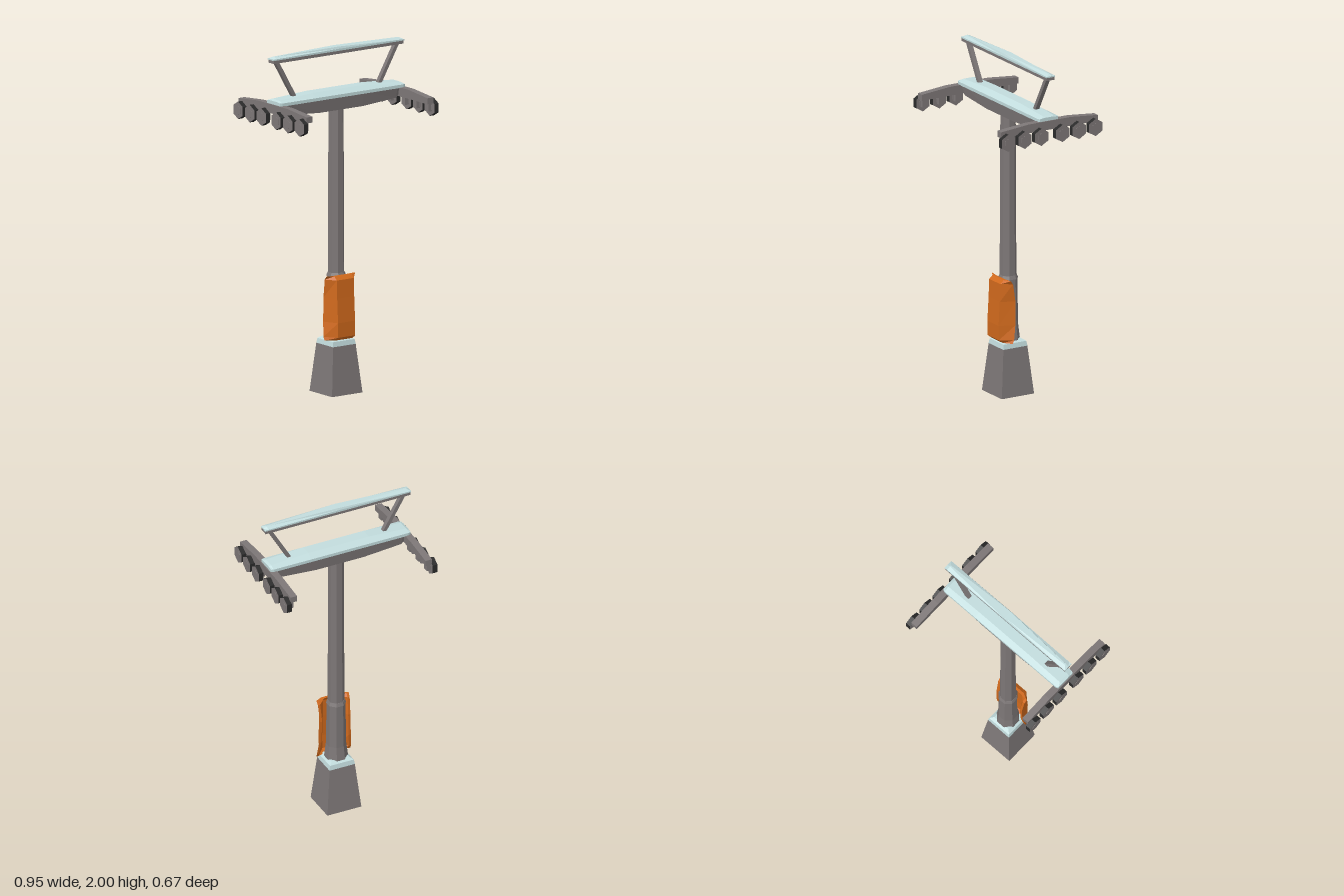
import * as THREE from 'three';

const material = (name, color) => {
  const m = new THREE.MeshStandardMaterial({ color, flatShading: true });
  m.name = name;
  return m;
};

// Solid through counter-clockwise 2D sections [position, [[u, v], ...]] stacked along +z.
function loft(sections, axis = 'y') {
  const pos = [];
  const n = sections[0][1].length;
  const put = (s, i) => {
    const [u, v] = sections[s][1][i % n];
    pos.push(u, v, sections[s][0]);
  };
  for (let s = 0; s < sections.length - 1; s++) {
    for (let i = 0; i < n; i++) {
      put(s, i); put(s, i + 1); put(s + 1, i + 1);
      put(s, i); put(s + 1, i + 1); put(s + 1, i);
    }
  }
  const last = sections.length - 1;
  const tris = THREE.ShapeUtils.triangulateShape(sections[0][1].map((p) => new THREE.Vector2(...p)), []);
  for (const [a, b, c] of tris) {
    put(0, a); put(0, c); put(0, b);
    put(last, a); put(last, b); put(last, c);
  }
  const g = new THREE.BufferGeometry();
  g.setAttribute('position', new THREE.Float32BufferAttribute(pos, 3));
  // 'y': u = x, v = -z.  'x': u = -z, v = y.
  if (axis === 'y') g.rotateX(-Math.PI / 2);
  else g.rotateY(Math.PI / 2);
  g.computeVertexNormals();
  return g;
}

const square = (h) => [[-h, -h], [h, -h], [h, h], [-h, h]];

export function createModel() {
  const model = new THREE.Group();
  model.name = 'liftPylon';
  const steel = material('greySteel', 0x7d7777);
  const snow = material('paleSnow', 0xc2dcdd);
  const orange = material('orangePadding', 0xd0691c);
  const rubber = material('blackRubber', 0x2a2a2a);

  const add = (name, geometry, mat, parent = model) => {
    const mesh = new THREE.Mesh(geometry, mat);
    mesh.name = name;
    parent.add(mesh);
    return mesh;
  };

  // Tapered footing with a snow cover
  add('footing', loft([[0, square(0.107)], [0.285, square(0.079)]]), steel);
  add('footingSnow', loft([[0.28, square(0.08)], [0.308, square(0.075)], [0.322, square(0.055)]]), snow);

  // Eight-sided mast: flared foot, collar, long shaft
  const mast = (name, r0, r1, y0, y1) => {
    const g = new THREE.CylinderGeometry(r1, r0, y1 - y0, 8);
    g.rotateY(Math.PI / 8);
    g.translate(0, (y0 + y1) / 2, 0);
    add(name, g, steel);
  };
  mast('mastFlare', 0.07, 0.058, 0.3, 0.4);
  mast('mastFoot', 0.058, 0.053, 0.4, 0.68);
  mast('mastCollar', 0.058, 0.05, 0.675, 0.695);
  mast('mastShaft', 0.048, 0.044, 0.69, 1.67);

  // Bent safety pad wrapped around the front of the mast: [y, half width, wing z, face z]
  const padRows = [
    [0.315, 0.107, 0.035, 0.072],
    [0.335, 0.108, 0.026, 0.098],
    [0.42, 0.1, 0.013, 0.1],
    [0.56, 0.096, 0.01, 0.092],
    [0.665, 0.1, 0.028, 0.088],
    [0.685, 0.102, 0.045, 0.066],
  ];
  add('safetyPad', loft(padRows.map(([y, w, zw, zf]) => [y, [
    [-w, -zw], [-0.06, -zf], [0.06, -zf], [w, -zw],
    [w - 0.014, -zw], [0.05, -Math.max(zf - 0.025, 0.05)],
    [-0.05, -Math.max(zf - 0.025, 0.05)], [-w + 0.014, -zw],
  ]])), orange);

  // Cross arm, deeper in the middle
  const arm = (x, low, h) => [x, [[-h * 0.8, low], [h * 0.8, low], [h, 1.722], [-h, 1.722]]];
  add('crossArm', loft([
    arm(-0.415, 1.685, 0.056), arm(-0.39, 1.657, 0.057), arm(-0.15, 1.64, 0.06),
    arm(0.15, 1.64, 0.06), arm(0.39, 1.657, 0.057), arm(0.415, 1.685, 0.056),
  ], 'x'), steel);

  // Bevelled snow blanket on the arm
  const blanket = (x, top, h) => [x, [
    [-h, 1.715], [h, 1.715], [h, 1.733], [h * 0.5, top], [-h * 0.5, top], [-h, 1.733],
  ]];
  add('armSnow', loft([
    blanket(-0.44, 1.737, 0.06), blanket(-0.425, 1.744, 0.066), blanket(-0.19, 1.758, 0.066),
    blanket(0.19, 1.758, 0.066), blanket(0.425, 1.744, 0.066), blanket(0.44, 1.737, 0.06),
  ], 'x'), snow);

  // Wheel trains at both ends of the arm
  const wheelGeometry = new THREE.CylinderGeometry(0.051, 0.051, 0.03, 6);
  const hubGeometry = new THREE.CylinderGeometry(0.026, 0.026, 0.034, 6);
  const axleGeometry = new THREE.BoxGeometry(0.024, 0.065, 0.035);
  const beamProfile = [
    [-0.322, 1.665], [0.322, 1.665], [0.322, 1.7], [0.14, 1.717], [-0.14, 1.717], [-0.322, 1.7],
  ];
  for (const side of [-1, 1]) {
    const train = new THREE.Group();
    train.name = side > 0 ? 'leftWheelTrain' : 'rightWheelTrain';
    model.add(train);
    const edges = side > 0 ? [0.405, 0.446] : [-0.446, -0.405];
    add('wheelBeam', loft(edges.map((x) => [x, beamProfile]), 'x'), steel, train);
    for (const z of [-0.29, -0.18, -0.07, 0.07, 0.18, 0.29]) {
      const wheel = add('wheel', wheelGeometry, [rubber, steel, steel], train);
      const hub = add('wheelHub', hubGeometry, steel, train);
      for (const part of [wheel, hub]) {
        part.rotation.z = Math.PI / 2;
        part.rotation.order = 'ZYX';
        part.position.set(side * 0.459, 1.638, z);
      }
      wheel.rotation.y = hub.rotation.y = 0;
      // Turn each hexagon so a corner points up
      wheel.rotation.set(0, 0, Math.PI / 2);
      wheel.rotateY(Math.PI / 2);
      hub.rotation.set(0, 0, Math.PI / 2);
      hub.rotateY(Math.PI / 2);
      add('axleBracket', axleGeometry, steel, train).position.set(side * 0.433, 1.65, z);
    }
  }

  // Slanted struts carrying the upper rail
  for (const side of [-1, 1]) {
    const from = new THREE.Vector3(side * 0.295, 1.74, 0);
    const to = new THREE.Vector3(side * 0.428, 1.97, 0);
    const strut = add('strut', new THREE.BoxGeometry(0.022, from.distanceTo(to), 0.026), steel);
    strut.position.copy(from).add(to).multiplyScalar(0.5);
    strut.rotation.z = -Math.atan2(to.x - from.x, to.y - from.y);
  }

  // Upper rail with a faceted snow ridge
  const rail = new THREE.BoxGeometry(0.912, 0.022, 0.052);
  rail.translate(0, 1.969, 0);
  add('upperRail', rail, steel);
  const ridge = (x, low, shoulder, top, h, ridgeHalf) => [x, [
    [-h, low], [h, low], [h, shoulder], [ridgeHalf, top], [-ridgeHalf, top], [-h, shoulder],
  ]];
  add('railSnow', loft([
    ridge(-0.46, 1.976, 1.983, 1.984, 0.028, 0.004),
    ridge(-0.44, 1.976, 1.984, 1.994, 0.028, 0.004),
    ridge(0, 1.976, 1.988, 2, 0.029, 0.024),
    ridge(0.44, 1.976, 1.984, 1.994, 0.028, 0.004),
    ridge(0.46, 1.976, 1.983, 1.984, 0.028, 0.004),
  ], 'x'), snow);

  return model;
}
